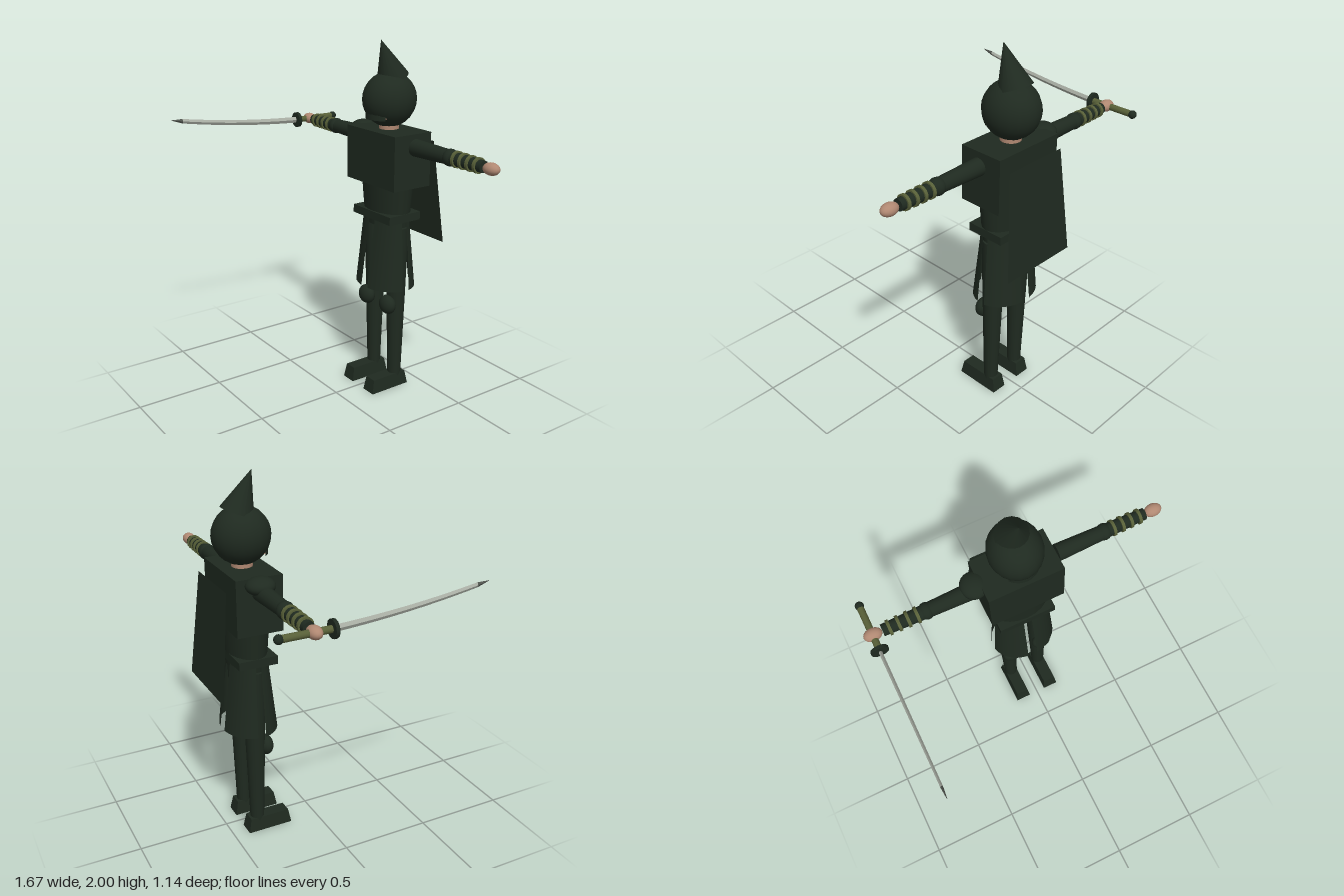
import * as THREE from 'three';

const material = (name, color, extra = {}) => {
  const m = new THREE.MeshStandardMaterial({ color, ...extra });
  m.name = name;
  return m;
};

export function createModel() {
  const cloth = material('dark green', 0x1f2a20);
  const sheet = material('dark green cloth', 0x1f2a20, { side: THREE.DoubleSide });
  const skin = material('skin', 0xb08872);
  const olive = material('olive wrap', 0x586038);
  const steel = material('steel', 0xabb0a6);
  const darkSteel = material('dark steel', 0x50544e);

  const model = new THREE.Group();
  model.name = 'swordsman';
  const Z = -0.355; // body axis

  const add = (name, geometry, mat, x, y, z, parent = model) => {
    const mesh = new THREE.Mesh(geometry, mat);
    mesh.name = name;
    mesh.position.set(x, y, z);
    parent.add(mesh);
    return mesh;
  };
  const ball = (name, mat, x, y, z, rx, ry, rz, parent) => {
    const mesh = add(name, new THREE.SphereGeometry(1, 20, 14), mat, x, y, z, parent);
    mesh.scale.set(rx, ry, rz);
    return mesh;
  };
  // Move every vertex by a rule, then take flat or smooth normals
  const reshape = (geometry, rule, flat = false) => {
    const p = geometry.attributes.position;
    const v = new THREE.Vector3();
    for (let i = 0; i < p.count; i++) {
      rule(v.fromBufferAttribute(p, i));
      p.setXYZ(i, v.x, v.y, v.z);
    }
    const out = flat ? geometry.toNonIndexed() : geometry;
    out.computeVertexNormals();
    return out;
  };

  // Head, pointed hood and face mask
  add('neck', new THREE.CylinderGeometry(0.055, 0.055, 0.1, 16), skin, 0, 1.54, Z);
  ball('head', cloth, 0, 1.68, Z, 0.143, 0.151, 0.153);
  const tilt = 0.385;
  const tip = add('hoodTip', new THREE.ConeGeometry(0.09, 0.222, 16), cloth,
    0, 2 - 0.111 * Math.cos(tilt), -0.29 - 0.111 * Math.sin(tilt));
  tip.rotation.x = tilt;
  const arc = (r, h, half) =>
    new THREE.CylinderGeometry(r, r, h, 12, 1, true, -half, 2 * half);
  add('mask', arc(0.105, 0.14, 0.93), sheet, 0, 1.65, -0.325);
  add('face', arc(0.1, 0.12, 1.0), skin, 0, 1.65, -0.325);

  // Torso
  add('chest', new THREE.BoxGeometry(0.42, 0.3, 0.25), cloth, 0, 1.37, -0.353);
  const waist = add('waist', new THREE.CylinderGeometry(0.18, 0.155, 0.24, 20), cloth, 0, 1.105, -0.352);
  waist.scale.z = 0.64;
  add('belt', new THREE.BoxGeometry(0.33, 0.046, 0.215), cloth, 0, 1.042, -0.348);

  // Skirt: four flared panels with slits between them
  for (let q = 0; q < 4; q++) {
    const geometry = new THREE.CylinderGeometry(1, 1, 1, 6, 1, true,
      q * Math.PI / 2 + 0.15, Math.PI / 2 - 0.3);
    add('skirtPanel', reshape(geometry, (v) => {
      const top = v.y > 0;
      v.x *= top ? 0.162 : 0.19;
      v.z *= top ? 0.102 : 0.152;
      v.y *= 0.4;
    }), sheet, 0, 0.82, -0.348);
  }

  // Cape: one slanted flared sheet
  add('cape', reshape(new THREE.PlaneGeometry(2, 1), (v) => {
    const top = v.y > 0;
    v.x *= top ? 0.187 : 0.234;
    v.y = top ? 1.46 : 0.88;
    v.z = top ? -0.52 : -0.573;
  }), sheet, 0, 0, 0);

  // Legs
  for (const s of [-1, 1]) {
    const leg = new THREE.Group();
    leg.name = s > 0 ? 'leftLeg' : 'rightLeg';
    leg.position.x = s * 0.097;
    model.add(leg);
    add('thigh', new THREE.CylinderGeometry(0.064, 0.052, 0.46, 16), cloth, 0, 0.75, -0.35, leg);
    add('shin', new THREE.CylinderGeometry(0.052, 0.038, 0.48, 16), cloth, 0, 0.29, -0.35, leg);
    ball('kneePad', cloth, 0, 0.52, -0.291, 0.058, 0.056, 0.041, leg);
    add('foot', reshape(new THREE.BoxGeometry(1, 0.08, 1), (v) => {
      v.x *= v.y > 0 ? 0.072 : 0.09;
      v.z *= v.y > 0 ? 0.226 : 0.257;
    }, true), cloth, 0, 0.04, -0.288, leg);
  }

  // Arms, stretched sideways
  for (const s of [-1, 1]) {
    const arm = new THREE.Group();
    arm.name = s > 0 ? 'leftArm' : 'rightArm';
    arm.position.set(0, 1.452, Z);
    model.add(arm);
    const limb = (name, x0, x1, r0, r1, mat) => {
      const geometry = new THREE.CylinderGeometry(r1, r0, x1 - x0, 16);
      add(name, geometry, mat, s * (x0 + x1) / 2, 0, 0, arm).rotation.z = -s * Math.PI / 2;
    };
    limb('upperArm', 0.227, 0.5, 0.047, 0.039, cloth);
    ball('elbow', cloth, s * 0.5, 0, 0, 0.042, 0.045, 0.045, arm);
    limb('forearm', 0.5, 0.737, 0.038, 0.031, cloth);
    for (let i = 0; i < 4; i++) {
      const x = 0.55 + i * 0.05;
      limb('wristWrap', x - 0.008, x + 0.008, 0.044 - i * 0.001, 0.044 - i * 0.001, olive);
    }
    ball('hand', skin, s * 0.787, 0, 0, 0.049, 0.032, 0.035, arm);
  }
  ball('shoulderPad', cloth, -0.235, 1.487, -0.36, 0.073, 0.046, 0.077);

  // Curved sword in the right hand
  const sword = new THREE.Group();
  sword.name = 'sword';
  sword.position.set(-0.789, 1.452, 0);
  model.add(sword);
  const alongZ = (name, r, z0, z1, mat) => {
    const geometry = new THREE.CylinderGeometry(r, r, z1 - z0, 12);
    add(name, geometry, mat, 0, 0, (z0 + z1) / 2, sword).rotation.x = Math.PI / 2;
  };
  alongZ('grip', 0.018, -0.515, -0.26, olive);
  alongZ('guard', 0.046, -0.271, -0.253, cloth);
  ball('pommel', cloth, 0, 0, -0.527, 0.023, 0.023, 0.023, sword);

  // Diamond-section blade that sweeps upward
  const blade = (name, t0, t1, h0, h1, w0, w1, mat) => {
    add(name, reshape(new THREE.CylinderGeometry(1, 1, 1, 4, 14), (v) => {
      const k = v.y + 0.5;
      const t = t0 + (t1 - t0) * k;
      const height = h0 + (h1 - h0) * k;
      const rise = 0.035 * t + 0.085 * t * t;
      v.set(v.x * (w0 + (w1 - w0) * k), rise - v.z * height, t - 0.26);
    }, true), mat, 0, 0, 0, sword);
  };
  blade('blade', 0, 0.765, 0.018, 0.013, 0.009, 0.007, steel);
  blade('bladeTip', 0.765, 0.832, 0.013, 0.001, 0.007, 0.001, darkSteel);

  return model;
}
